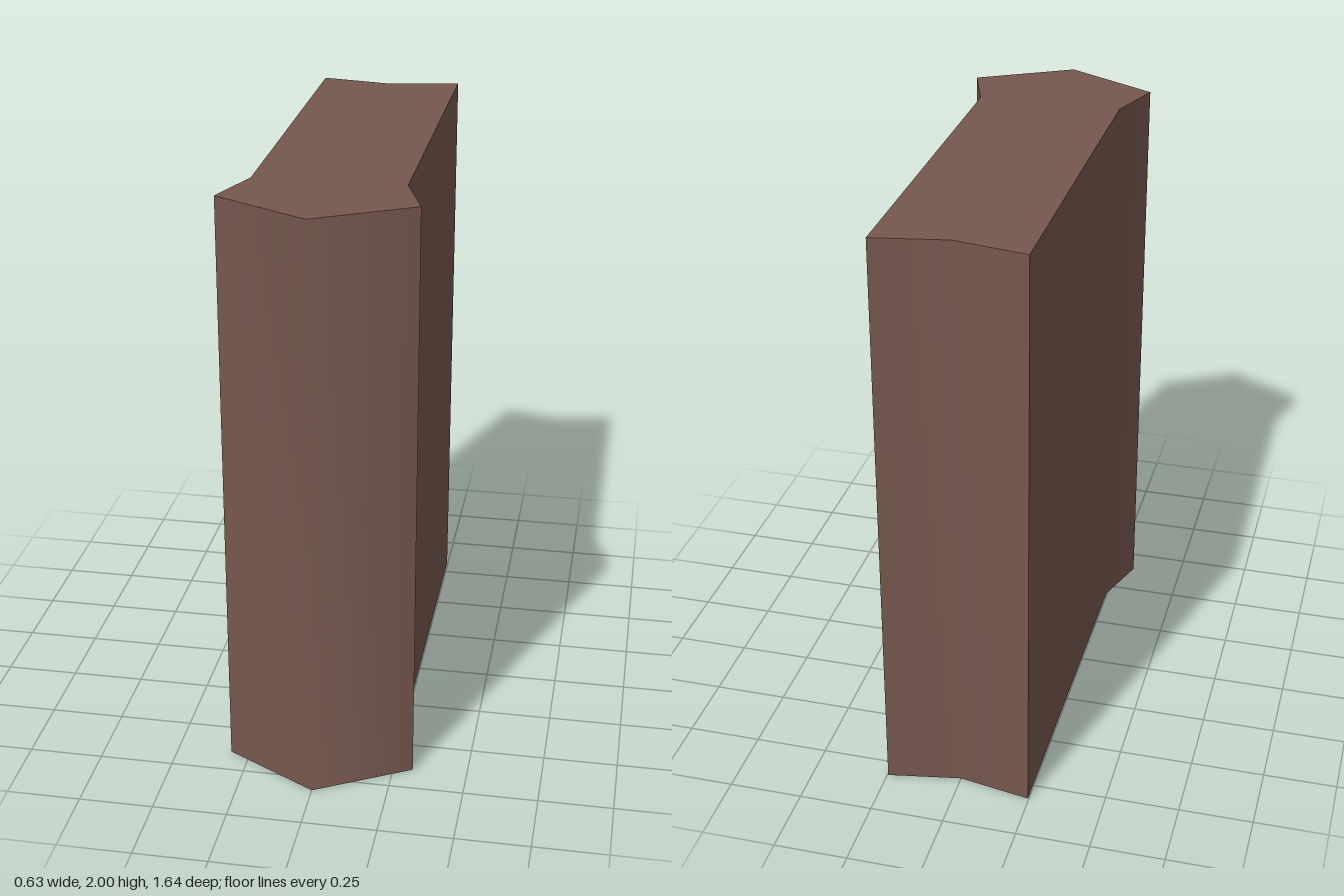
import * as THREE from 'three';
import { toCreasedNormals } from 'three/addons/utils/BufferGeometryUtils.js';

export function createModel() {
  const group = new THREE.Group();
  group.name = 'pointedBlock';

  const brown = new THREE.MeshStandardMaterial({ color: 0x76574d });
  brown.name = 'brown';

  // Half outline seen from above as [x, z], from the front tip to the rear notch
  const half = [[0, 0.82], [0.316, 0.645], [0.247, 0.445], [0.247, -0.82], [0, -0.775]];
  const mirrored = half.slice(1, -1).reverse().map(([x, z]) => [-x, z]);
  const outline = [...half, ...mirrored].map(([x, z]) => new THREE.Vector2(x, -z));

  // Upright block: the shallow bends are smooth, the corners stay sharp
  const extruded = new THREE.ExtrudeGeometry(new THREE.Shape(outline), { depth: 2, bevelEnabled: false });
  extruded.rotateX(-Math.PI / 2);
  const block = new THREE.Mesh(toCreasedNormals(extruded, THREE.MathUtils.degToRad(68)), brown);
  block.name = 'block';
  group.add(block);

  return group;
}
